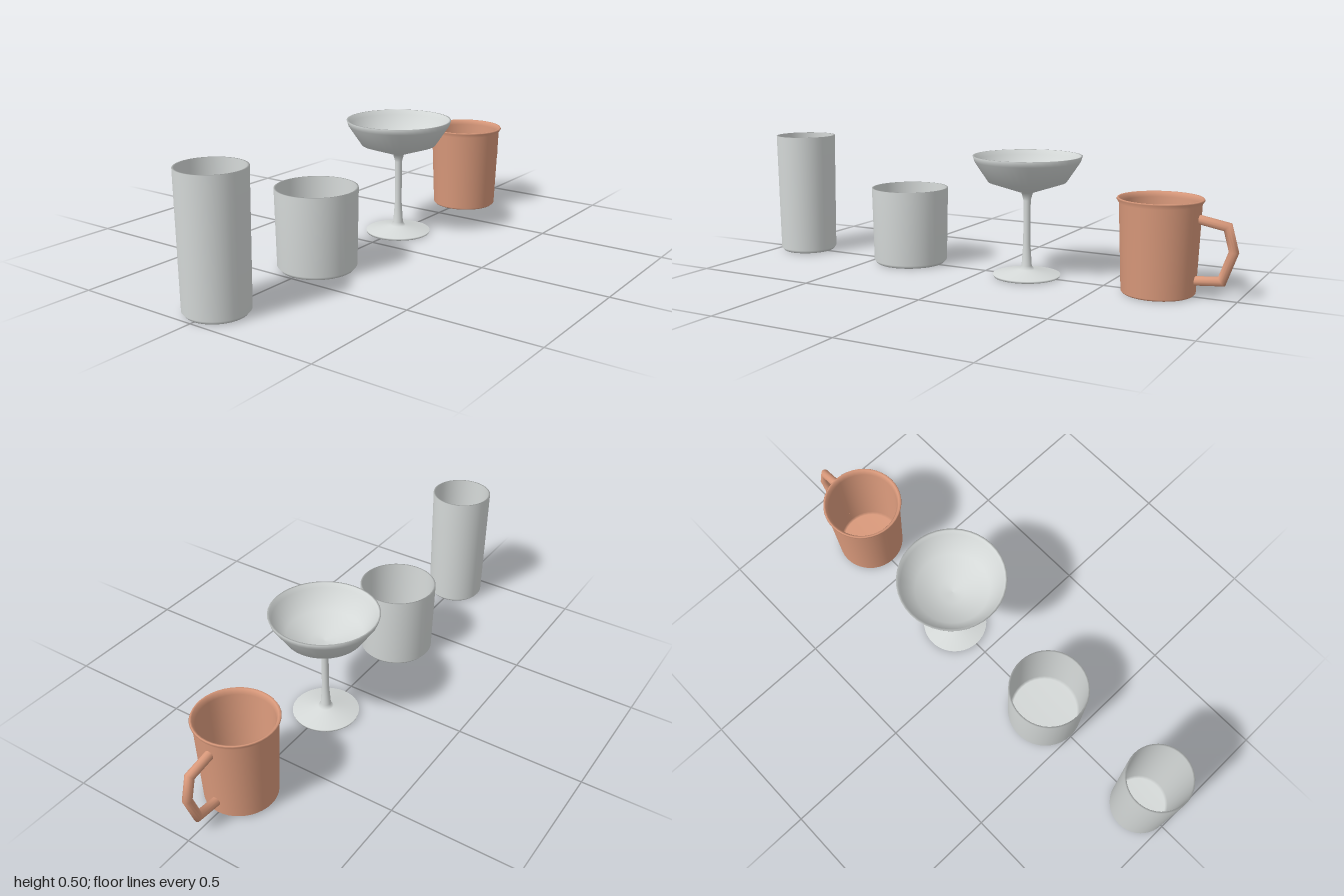
import * as THREE from 'three';

const glass = new THREE.MeshStandardMaterial({ color: 0xd4d8d7 });
glass.name = 'paleGlass';
const copper = new THREE.MeshStandardMaterial({ color: 0xd9997b });
copper.name = 'copper';

// Turned vessel: the profile runs from the base centre, up the outside, over the rim and down the inside
function turned(name, x, profile, material) {
  const points = profile.map(([r, y]) => new THREE.Vector2(r, y));
  const mesh = new THREE.Mesh(new THREE.LatheGeometry(points, 40), material);
  mesh.name = name;
  mesh.position.x = x;
  return mesh;
}

// Straight tumbler with a small chamfer at the base
function tumbler(name, x, topR, baseR, height) {
  return turned(name, x, [
    [0, 0.003], [baseR - 0.011, 0.003], [baseR, 0.016], [topR, height],
    [topR - 0.007, height], [baseR - 0.008, 0.026], [baseR - 0.018, 0.018], [0, 0.018],
  ], glass);
}

// Round bar swept along a bent path in the xy plane, with mitred corners
function bentBar(path, radius, sides) {
  const pts = path.map(([x, y]) => new THREE.Vector2(x, y));
  const position = [], index = [];
  pts.forEach((p, i) => {
    const into = pts[Math.max(i, 1)].clone().sub(pts[Math.max(i, 1) - 1]).normalize();
    const k = Math.min(i, pts.length - 2);
    const out = pts[k + 1].clone().sub(pts[k]).normalize();
    const t = into.clone().add(out).normalize();
    const stretch = radius / t.dot(into);
    for (let j = 0; j < sides; j++) {
      const a = (j / sides) * Math.PI * 2;
      const c = Math.cos(a) * stretch;
      position.push(p.x - t.y * c, p.y + t.x * c, Math.sin(a) * radius);
      if (i < pts.length - 1) {
        const n = (j + 1) % sides;
        const a0 = i * sides + j, a1 = i * sides + n;
        index.push(a0, a1, a0 + sides, a1, a1 + sides, a0 + sides);
      }
    }
  });
  const geometry = new THREE.BufferGeometry();
  geometry.setAttribute('position', new THREE.Float32BufferAttribute(position, 3));
  geometry.setIndex(index);
  geometry.computeVertexNormals();
  return geometry;
}

export function createModel() {
  const model = new THREE.Group();
  model.name = 'drinkingVessels';

  // Tall and short tumblers
  model.add(tumbler('tallGlass', -0.877, 0.123, 0.117, 0.5));
  model.add(tumbler('shortGlass', -0.35, 0.155, 0.149, 0.312));

  // Stemmed saucer glass: foot, stem and wide bowl
  model.add(turned('stemmedGlass', 0.181, [
    [0, 0.003], [0.128, 0.003], [0.131, 0.012], [0.03, 0.03], [0.02, 0.045], [0.014, 0.13],
    [0.014, 0.3], [0.022, 0.33], [0.15, 0.373], [0.203, 0.452], [0.21, 0.473],
    [0.202, 0.473], [0.195, 0.454], [0.144, 0.381], [0.05, 0.351], [0, 0.345],
  ], glass));

  // Mug with a flared lip
  const mug = new THREE.Group();
  mug.name = 'mug';
  mug.add(turned('mugBody', 0.711, [
    [0, 0.003], [0.128, 0.003], [0.135, 0.01], [0.148, 0.333], [0.157, 0.348], [0.154, 0.353],
    [0.147, 0.352], [0.138, 0.333], [0.126, 0.026], [0.117, 0.018], [0, 0.018],
  ], copper));

  // Angular handle, its ends buried in the mug wall
  const handle = new THREE.Mesh(bentBar([
    [0.847, 0.287], [0.957, 0.267], [0.981, 0.18], [0.942, 0.071], [0.84, 0.062],
  ], 0.0175, 12), copper);
  handle.name = 'mugHandle';
  mug.add(handle);
  model.add(mug);

  return model;
}
